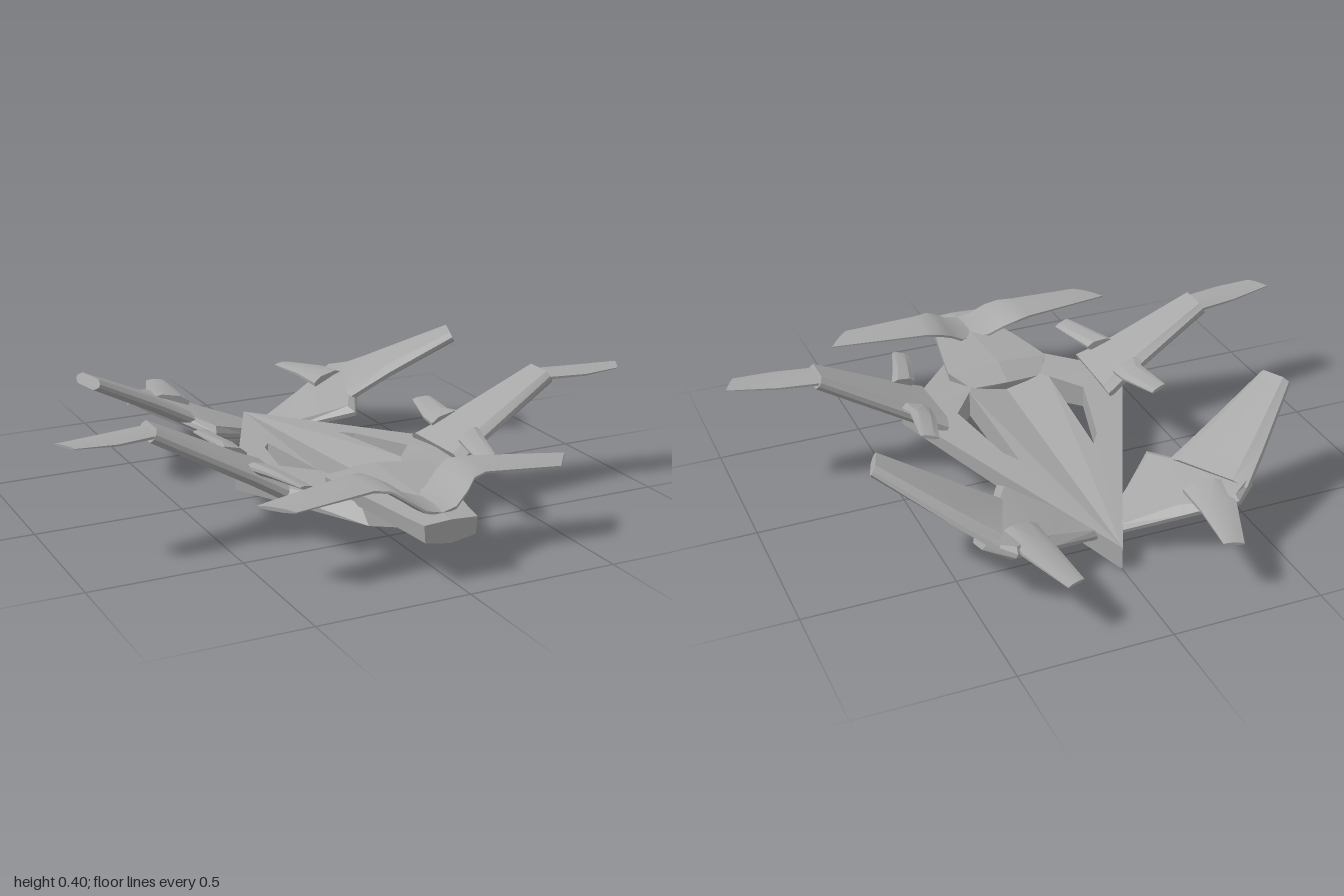
import * as THREE from 'three';
import { toCreasedNormals } from 'three/addons/utils/BufferGeometryUtils.js';

const V = (a) => new THREE.Vector3(...a);

// Turns all faces outward (by signed volume) and sets creased normals.
function finish(geo, crease) {
  const p = geo.attributes.position;
  const a = new THREE.Vector3(), b = new THREE.Vector3(), c = new THREE.Vector3();
  let volume = 0;
  for (let i = 0; i < p.count; i += 3) {
    a.fromBufferAttribute(p, i);
    b.fromBufferAttribute(p, i + 1);
    c.fromBufferAttribute(p, i + 2);
    volume += a.dot(b.cross(c));
  }
  if (volume < 0) {
    for (let i = 0; i < p.count; i += 3) {
      b.fromBufferAttribute(p, i + 1);
      c.fromBufferAttribute(p, i + 2);
      p.setXYZ(i + 1, c.x, c.y, c.z);
      p.setXYZ(i + 2, b.x, b.y, b.z);
    }
  }
  geo.computeVertexNormals();
  return toCreasedNormals(geo, crease);
}

// Skins a row of equal-length rings and closes both ends.
function loft(rings, crease = 0.4) {
  const out = [];
  const tri = (...pts) => pts.forEach((p) => out.push(p.x, p.y, p.z));
  const n = rings[0].length;
  for (let i = 0; i < rings.length - 1; i++) {
    for (let j = 0; j < n; j++) {
      const k = (j + 1) % n, A = rings[i], B = rings[i + 1];
      tri(A[j], A[k], B[k]);
      tri(A[j], B[k], B[j]);
    }
  }
  const first = rings[0], last = rings[rings.length - 1];
  for (let j = 1; j < n - 1; j++) {
    tri(first[0], first[j + 1], first[j]);
    tri(last[0], last[j], last[j + 1]);
  }
  const geo = new THREE.BufferGeometry();
  geo.setAttribute('position', new THREE.Float32BufferAttribute(out, 3));
  return finish(geo, crease);
}

// Wing panel: sections are [leading point, trailing point, half thickness].
function panel(sections, normal = [0, 1, 0], edge = 0.25, crease = 0.4) {
  const up = V(normal).normalize();
  return loft(sections.map(([lead, trail, t]) => {
    const f = V(lead), b = V(trail);
    const at = (u, s) => f.clone().lerp(b, u).addScaledVector(up, s * t);
    return [at(0, 0.3), at(edge, 1), at(1 - edge, 1), at(1, 0.3),
      at(1, -0.3), at(1 - edge, -1), at(edge, -1), at(0, -0.3)];
  }), crease);
}

// Half of the arrowhead hull with its through slot; flat deck, V-shaped belly.
function halfHull() {
  const pts = (list) => list.map(([x, z]) => new THREE.Vector2(x, z));
  const shape = new THREE.Shape(pts([[0, -0.64], [0.415, 0.25], [0.14, 0.6], [0, 0.6]]));
  shape.holes.push(new THREE.Path(pts([[0.135, -0.12], [0.15, 0.3], [0.235, 0.19], [0.17, -0.07]])));
  const geo = new THREE.ExtrudeGeometry(shape, { depth: 1, bevelEnabled: false });
  geo.clearGroups();
  const p = geo.attributes.position;
  for (let i = 0; i < p.count; i++) {
    const x = p.getX(i), z = p.getY(i), top = p.getZ(i) > 0.5;
    const deck = z < 0.27 ? 0.08 + 0.11 * (z + 0.64) : 0.18 - 0.06 * (z - 0.27);
    const belly = Math.max(0, 0.073 * (z + 0.4)) + 0.22 * x;
    const front = z > 0.5 ? (top ? -0.03 : 0.03) : 0;
    p.setXYZ(i, x, top ? deck : belly, z + front);
  }
  return geo;
}

export function createModel() {
  const model = new THREE.Group();
  const hullGrey = new THREE.MeshStandardMaterial({ color: 0xa6a6a6 });
  hullGrey.name = 'hullGrey';

  const add = (name, geo) => {
    const mesh = new THREE.Mesh(geo, hullGrey);
    mesh.name = name;
    model.add(mesh);
  };
  const pair = (name, geo, crease = 0.4) => {
    add(name + 'Left', geo);
    add(name + 'Right', finish(geo.clone().scale(-1, 1, 1), crease));
  };

  // Hull
  pair('hull', finish(halfHull(), 0.1), 0.1);

  // Cockpit and nose: [z, half width, centre top, shoulder, bottom]
  const nose = [
    [0.33, 0.13, 0.178, 0.172, 0.14],
    [0.42, 0.185, 0.215, 0.2, 0.13],
    [0.6, 0.15, 0.205, 0.195, 0.135],
    [0.8, 0.105, 0.195, 0.185, 0.12],
    [0.88, 0.09, 0.19, 0.185, 0.115],
  ];
  add('cockpitNose', loft(nose.map(([z, w, top, side, low]) => [
    [0, top, z - (z < 0.5 ? 0.015 : 0)], [w, side, z], [w * 0.95, low + 0.015, z],
    [0, low, z], [-w * 0.95, low + 0.015, z], [-w, side, z],
  ].map(V)), 0.1));

  // Canards, curving up from the nose
  pair('canard', panel([
    [[0, 0.19, 0.83], [0, 0.19, 0.66], 0.014],
    [[0.05, 0.2, 0.825], [0.05, 0.2, 0.635], 0.014],
    [[0.1, 0.235, 0.805], [0.1, 0.235, 0.61], 0.014],
    [[0.14, 0.26, 0.775], [0.15, 0.26, 0.59], 0.013],
    [[0.19, 0.265, 0.757], [0.2, 0.265, 0.6], 0.012],
    [[0.45, 0.25, 0.775], [0.53, 0.25, 0.675], 0.006],
  ], [0, 1, 0], 0.3, 0.6), 0.6);

  // Main wings: raised pylon, level outer tip, and two small root fins
  pair('wingPylon', panel([
    [[0.31, 0.165, 0.42], [0.3, 0.165, 0.11], 0.03],
    [[0.4, 0.215, 0.385], [0.4, 0.215, 0.14], 0.028],
    [[0.705, 0.379, 0.325], [0.705, 0.379, 0.2], 0.024],
  ], [-0.45, 0.89, 0], 0.12));
  pair('wingTip', panel([
    [[0.69, 0.377, 0.32], [0.69, 0.377, 0.205], 0.014],
    [[0.83, 0.378, 0.345], [0.84, 0.378, 0.23], 0.01],
    [[0.96, 0.385, 0.342], [1, 0.385, 0.27], 0.004],
  ], [0, 1, 0], 0.3, 0.6), 0.6);
  pair('wingForwardFin', panel([
    [[0.33, 0.225, 0.36], [0.42, 0.245, 0.34], 0.018],
    [[0.31, 0.225, 0.44], [0.385, 0.245, 0.43], 0.014],
    [[0.285, 0.225, 0.555], [0.34, 0.24, 0.57], 0.006],
  ], [-0.2, 1, 0]));
  pair('wingRearFin', panel([
    [[0.34, 0.22, 0.17], [0.45, 0.25, 0.18], 0.018],
    [[0.345, 0.225, 0.1], [0.425, 0.25, 0.12], 0.014],
    [[0.385, 0.24, -0.05], [0.443, 0.25, -0.03], 0.006],
  ], [-0.2, 1, 0]));

  // Tail: root plate, forward-swept fin and rear finlet
  pair('tailRoot', panel([
    [[0.1, 0.075, -0.4], [0.04, 0.07, -0.545], 0.02],
    [[0.27, 0.145, -0.255], [0.22, 0.13, -0.625], 0.024],
    [[0.4, 0.185, -0.5], [0.375, 0.185, -0.695], 0.024],
    [[0.465, 0.205, -0.575], [0.45, 0.205, -0.63], 0.02],
  ], [-0.4, 0.92, 0], 0.1, 0.25), 0.25);
  pair('tailFin', panel([
    [[0.3, 0.165, -0.36], [0.42, 0.2, -0.66], 0.026],
    [[0.45, 0.25, -0.33], [0.53, 0.265, -0.56], 0.024],
    [[0.675, 0.37, -0.272], [0.715, 0.38, -0.385], 0.02],
  ], [-0.47, 0.88, 0], 0.15));
  pair('tailFinlet', panel([
    [[0.38, 0.195, -0.58], [0.25, 0.175, -0.55], 0.022],
    [[0.36, 0.19, -0.7], [0.245, 0.178, -0.69], 0.016],
    [[0.29, 0.172, -0.882], [0.23, 0.172, -0.86], 0.005],
  ], [-0.1, 1, 0]));

  return model;
}
